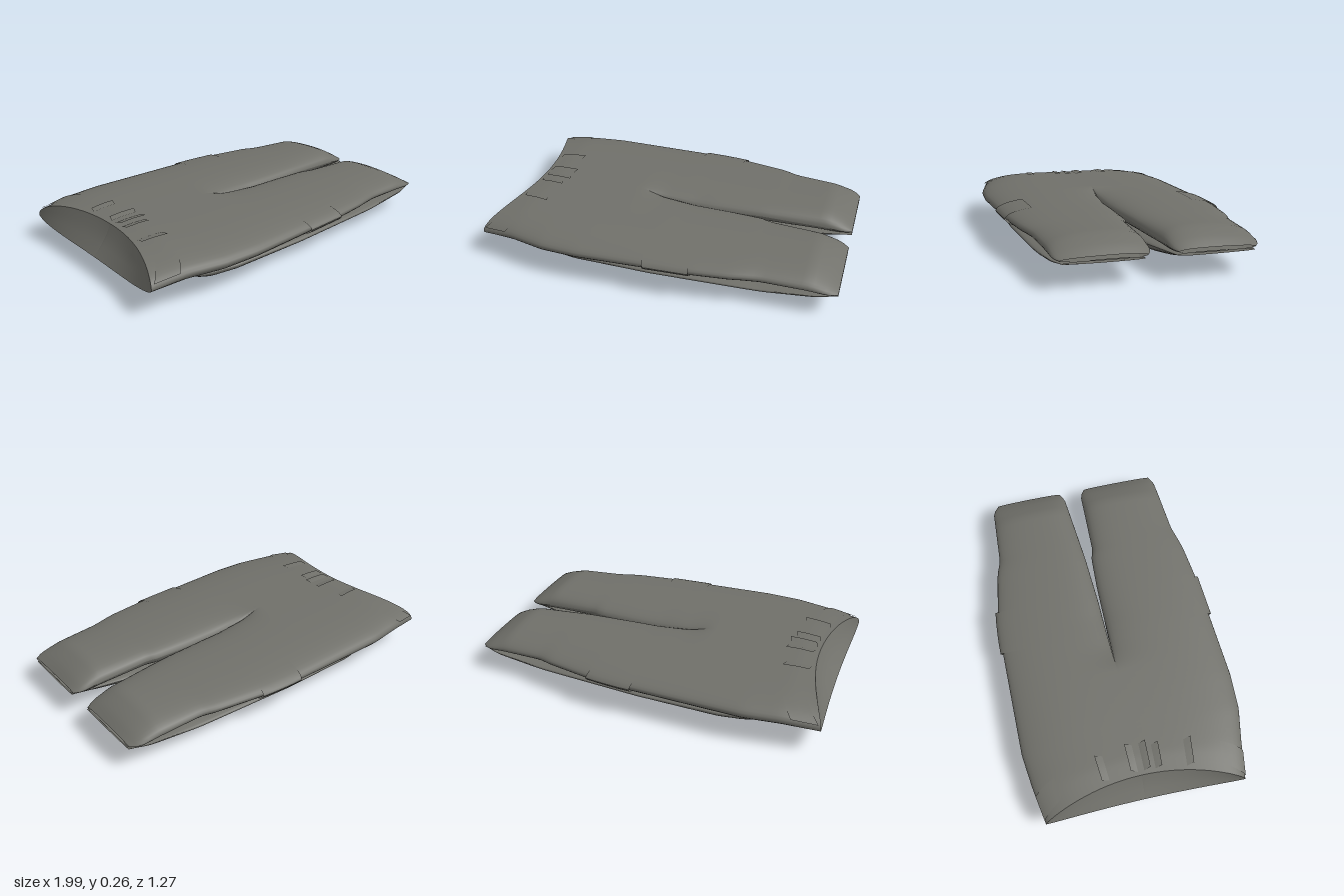
import * as THREE from 'three';

// Piecewise-linear lookup in [[x, value], ...], eased a little by averaging
function raw(table, x) {
  if (x <= table[0][0]) return table[0][1];
  for (let i = 1; i < table.length; i++) {
    const [x1, b] = table[i], [x0, a] = table[i - 1];
    if (x <= x1) return a + (b - a) * (x - x0) / (x1 - x0);
  }
  return table[table.length - 1][1];
}
const look = (t, x) => (raw(t, x - 0.015) + 2 * raw(t, x) + raw(t, x + 0.015)) / 4;

// Indexed grid surface from fn(u, v) -> [x, y, z]
function grid(nu, nv, fn, flip) {
  const pos = [], idx = [];
  for (let i = 0; i <= nu; i++)
    for (let j = 0; j <= nv; j++) pos.push(...fn(i / nu, j / nv));
  for (let i = 0; i < nu; i++)
    for (let j = 0; j < nv; j++) {
      const a = i * (nv + 1) + j, b = a + 1, c = a + nv + 1, d = c + 1;
      if (flip) idx.push(a, c, b, b, c, d);
      else idx.push(a, b, c, b, d, c);
    }
  const g = new THREE.BufferGeometry();
  g.setAttribute('position', new THREE.Float32BufferAttribute(pos, 3));
  g.setIndex(idx);
  g.computeVertexNormals();
  return g;
}

// Upper layer: hips and thighs, one half per side
const upper = {
  from: -1, power: 3.5,
  top: [[-1, 0.255], [-0.85, 0.262], [0, 0.252], [0.85, 0.237], [0.96, 0.19], [1, 0.155]],
  mid: [[-1, 0.155], [-0.8, 0.18], [0.5, 0.185], [0.85, 0.165], [1, 0.145]],
  bottom: [[-1, 0.1], [-0.6, 0.09], [0.3, 0.11], [0.9, 0.115], [1, 0.135]],
  pinch: [[-0.22, 0], [-0.1, 0.6], [0.1, 1]],
  outer: {
    1: [[-1, 0.56], [-0.8, 0.59], [-0.6, 0.63], [-0.4, 0.638], [0.25, 0.6], [0.45, 0.575], [0.6, 0.54], [0.96, 0.515], [1, 0.49]],
    '-1': [[-1, 0.56], [-0.8, 0.595], [-0.6, 0.62], [0.1, 0.62], [0.25, 0.61], [0.52, 0.565], [0.6, 0.538], [0.96, 0.52], [1, 0.48]],
  },
  inner: {
    1: [[-0.2, 0], [0.3, 0.003], [0.5, 0.012], [0.55, 0.03], [0.96, 0.04], [1, 0.07]],
    '-1': [[-0.2, 0], [0.2, 0.008], [0.5, 0.025], [0.96, 0.065], [1, 0.09]],
  },
};

// Lower layer: shins folded back beneath the thighs
const lowerOuter = [[-0.76, 0.42], [-0.66, 0.5], [-0.45, 0.54], [0, 0.55], [0.5, 0.53], [0.9, 0.51], [1, 0.48]];
const lowerInner = [[-0.76, 0.14], [-0.6, 0.05], [-0.3, 0.025], [0.5, 0.03], [1, 0.08]];
const lower = {
  from: -0.76, power: 2.4,
  top: [[-0.76, 0.105], [-0.6, 0.13], [0.85, 0.135], [1, 0.14]],
  mid: [[-0.76, 0.1], [-0.6, 0.085], [0.6, 0.1], [1, 0.13]],
  bottom: [[-0.76, 0.095], [-0.69, 0.05], [-0.58, 0], [-0.3, 0.012], [0, 0.028], [0.65, 0.038], [0.85, 0.075], [1, 0.125]],
  pinch: [[-1, 1], [1, 1]],
  outer: { 1: lowerOuter, '-1': lowerOuter },
  inner: { 1: lowerInner, '-1': lowerInner },
};

// Point on a layer: v runs from the inner top, round the outer edge, to the inner bottom
function surface(layer, side, x, v, lift = 0) {
  const s = (1 - Math.cos(2 * Math.PI * v)) / 2, isTop = v <= 0.5;
  const p = look(layer.pinch, x);
  const round = Math.sqrt(Math.max(0, 1 - Math.pow(s, layer.power)));
  const seam = 1 - p + p * Math.sqrt(Math.max(0, 1 - Math.pow(1 - s, 2 * layer.power)));
  const mid = look(layer.mid, x), edge = look(isTop ? layer.top : layer.bottom, x);
  const y = mid + (edge - mid) * round * seam;
  const a = look(layer.inner[side], x), b = look(layer.outer[side], x);
  let X = x;
  if (layer === upper && x < -0.6) { // slanted, scooped waist opening
    const start = isTop ? -0.86 - 0.13 * s * s : -0.97 - 0.02 * s * s;
    X = -0.6 + (x + 0.6) * (start + 0.6) / -0.4;
  }
  return [X, y + lift * Math.cos(Math.PI * v), side * (a + (b - a) * s + lift * Math.sin(Math.PI * v))];
}

export function createModel() {
  const model = new THREE.Group();
  const cloth = new THREE.MeshStandardMaterial({ color: 0x70706a, side: THREE.DoubleSide });
  cloth.name = 'grey cloth';
  const add = (name, geometry) => {
    const mesh = new THREE.Mesh(geometry, cloth);
    mesh.name = name;
    model.add(mesh);
  };
  // Cloth piece lying on the upper layer; skew slants it, lift0 to lift1 tilts it
  const patch = (name, side, x0, x1, v0, v1, skew, lift0, lift1) =>
    add(name, grid(4, 6, (u, t) => surface(upper, side,
      Math.max(-1, x0 + (x1 - x0) * u + skew * t), v0 + (v1 - v0) * t,
      lift0 + (lift1 - lift0) * t), side < 0));
  const vOf = s => Math.acos(1 - 2 * s) / (2 * Math.PI);

  for (const side of [1, -1]) {
    const word = side > 0 ? 'left' : 'right';
    for (const [name, layer] of [['HipAndThigh', upper], ['FoldedShin', lower]])
      add(word + name, grid(64, 40, (u, v) =>
        surface(layer, side, layer.from + (1 - layer.from) * u, v), side < 0));

    // Waist opening, closed between upper and lower rims
    add(word + 'WaistOpening', grid(20, 3, (u, t) => {
      const a = surface(upper, side, -1, u / 2), b = surface(upper, side, -1, 1 - u / 2);
      const sag = 0.015 * Math.sin(Math.PI * t) * (1 - u);
      return a.map((c, i) => c + (b[i] - c) * t + (i === 0 ? sag : 0));
    }, side > 0));

    // Side pocket flap, wrapped round the outer edge
    const x0 = side > 0 ? -0.03 : -0.01, x1 = side > 0 ? 0.22 : 0.25;
    patch(word + 'PocketFlap', side, x0, x1, vOf(0.76), 0.5, 0.02, 0.004, 0.014);
    patch(word + 'PocketSide', side, x0 + 0.02, x1 + 0.02, 0.5, 0.64, 0, 0.014, 0.002);

    // Belt loops along the waistband
    for (const s of side > 0 ? [0.06, 0.17, 0.47] : [0.06, 0.34])
      patch(word + 'BeltLoop', side, -0.97, s < 0.1 ? -0.74 : -0.77,
        vOf(s - 0.03), vOf(s + 0.03), 0.02, 0.004, 0.012);
    patch(word + 'SideLoop', side, -0.94, -0.8, vOf(0.78), vOf(0.98), -0.05, 0.003, 0.012);
    patch(word + 'LowerWaistLoop', side, -0.97, -0.84, 0.66, 0.72, 0, 0.004, 0.008);
  }
  return model;
}
